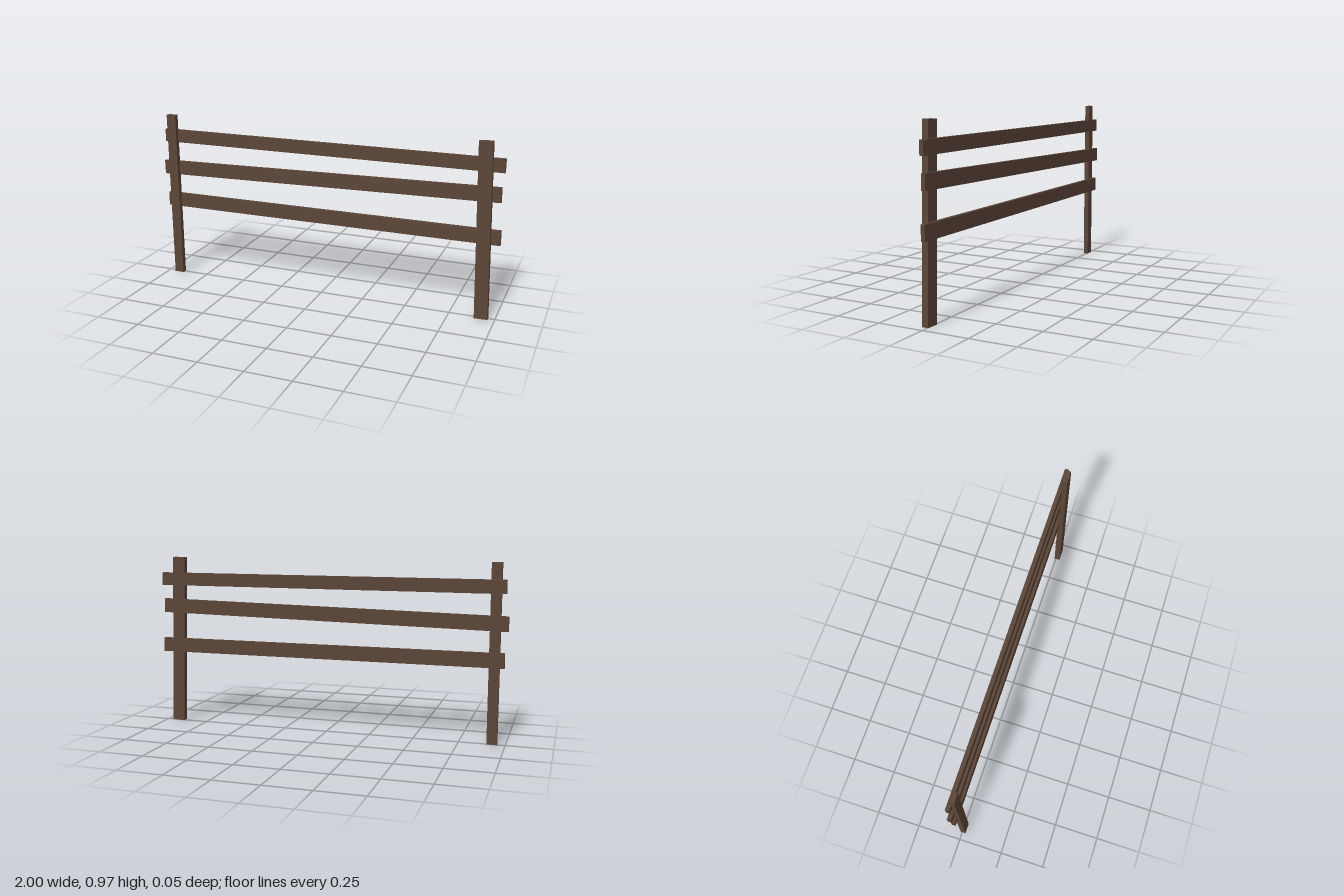
import * as THREE from 'three';

export function createModel() {
  const fence = new THREE.Group();
  fence.name = 'fence';
  const wood = new THREE.MeshStandardMaterial({ color: 0x5c4638 });
  wood.name = 'brown wood';

  // A plank centred at (x, y), spanning z0 to z1, tilted in the fence plane
  function plank(name, x, y, width, height, z0, z1, tilt = 0) {
    const mesh = new THREE.Mesh(new THREE.BoxGeometry(width, height, z1 - z0), wood);
    mesh.name = name;
    mesh.position.set(x, y, (z0 + z1) / 2);
    mesh.rotation.z = tilt;
    fence.add(mesh);
  }

  // Posts: one upright, one wider and leaning
  plank('rightPost', -0.929, 0.487, 0.056, 0.974, -0.008, 0.02);
  plank('leftPost', 0.913, 0.4875, 0.073, 0.973, -0.008, 0.025, 0.03);

  // Rails on the back of the posts, the middle one sloping
  const back = -0.024, front = -0.002;
  plank('topRail', 0.008, 0.848, 1.984, 0.073, back, front);
  plank('middleRail', -0.005, 0.673, 1.989, 0.08, back, front, 0.019);
  plank('bottomRail', 0.008, 0.459, 1.984, 0.08, back, front);

  return fence;
}
